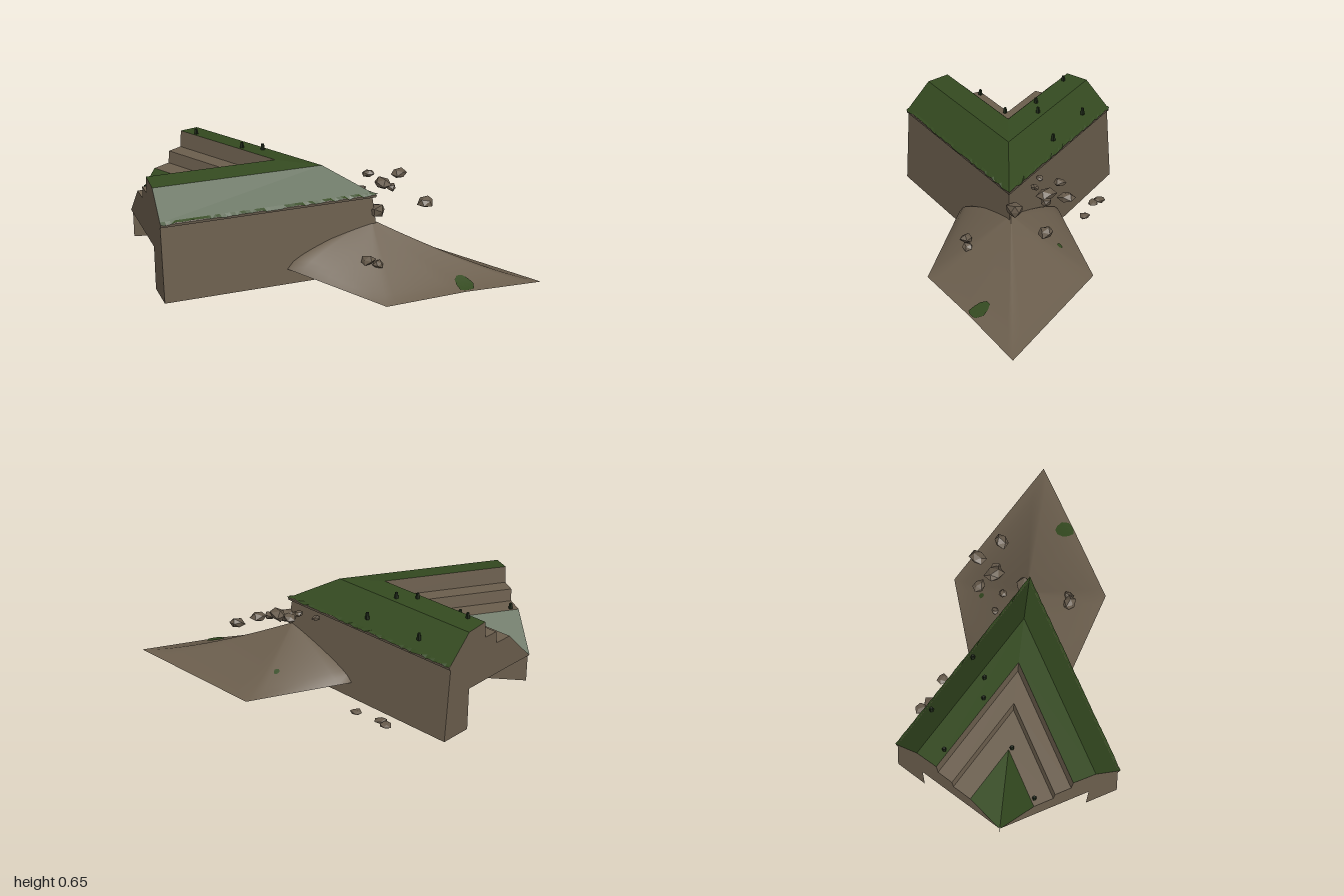
import * as THREE from 'three';

const mat = (name, color, flatShading = true) => {
  const m = new THREE.MeshStandardMaterial({ color, flatShading, side: THREE.DoubleSide });
  m.name = name;
  return m;
};

// Small seeded random number generator
function seeded(seed) {
  return () => {
    seed = (seed * 16807) % 2147483647;
    return seed / 2147483647;
  };
}

// Three stations of the mitred rampart: front arm end, corner, rear arm end.
// d is the distance inward from the outer foot of the wall.
const stations = [
  (d, y) => [-1, y, 0.32 - d],
  (d, y) => [0.24 - 1.732 * d, y, 0.32 - d],
  (d, y) => [-0.38 - 0.866 * d, y, -0.754 + 0.5 * d],
];

function facets(pos) {
  const g = new THREE.BufferGeometry();
  g.setAttribute('position', new THREE.Float32BufferAttribute(pos, 3));
  g.computeVertexNormals();
  return g;
}

const quad = (a, b, c, e) => [...a, ...b, ...c, ...a, ...c, ...e];

// Sweeps an open profile of [d, y] points around the corner
function sweep(profile) {
  const pos = [];
  for (let i = 0; i < 2; i++) {
    for (let j = 0; j < profile.length - 1; j++) {
      const p = profile[j], q = profile[j + 1];
      pos.push(...quad(stations[i](...p), stations[i + 1](...p), stations[i + 1](...q), stations[i](...q)));
    }
  }
  return facets(pos);
}

// Ragged turf hanging over the lip of both arms
function turfFringe(rand) {
  const pos = [], n = 44;
  const mix = (a, b, t) => a.map((v, i) => v + (b[i] - v) * t);
  for (let i = 0; i < 2; i++) {
    let low = 0.455;
    for (let k = 0; k < n; k++) {
      const next = 0.447 + rand() * 0.014;
      const at = (d, y, t) => mix(stations[i](d, y), stations[i + 1](d, y), t);
      pos.push(...quad(at(0.015, low, k / n), at(0.015, next, (k + 1) / n),
        at(0.03, 0.466, (k + 1) / n), at(0.03, 0.466, k / n)));
      low = next;
    }
  }
  return facets(pos);
}

// Flat end of an arm
function endCap(profile, station, flip) {
  const g = new THREE.ShapeGeometry(new THREE.Shape(profile.map((p) => new THREE.Vector2(...p))));
  const p = g.attributes.position;
  for (let i = 0; i < p.count; i++) p.setXYZ(i, ...station(p.getX(i), p.getY(i)));
  if (flip) g.index.array.reverse();
  g.computeVertexNormals();
  return g;
}

// Mound rim points: x, z, y and how hollow the slope is towards them
const APEX = [0.19, 0.28, 0.3];
const RIM = [
  [1, 0.75, 0.0, 1.35], [0.55, 0.75, 0.015, 1.3], [0.09, 0.75, 0.005, 1.1], [-0.31, 0.33, 0.1, 0.6],
  [-0.36, 0.14, 0.03, 0.7], [-0.03, -0.16, 0.105, 0.7], [0.54, -0.03, 0.0, 1.2],
];

function moundGeometry() {
  const sub = 8, rings = 14, n = RIM.length * sub, pos = [], idx = [];
  for (let r = 0; r <= rings; r++) {
    const t = r / rings;
    for (let k = 0; k < n; k++) {
      const a = RIM[Math.floor(k / sub)], b = RIM[(Math.floor(k / sub) + 1) % RIM.length];
      const f = (k % sub) / sub;
      const [x, z, y, p] = a.map((v, i) => v + (b[i] - v) * f);
      pos.push(APEX[0] + (x - APEX[0]) * t, y + (APEX[2] - y) * Math.pow(1 - t, p), APEX[1] + (z - APEX[1]) * t);
      if (r < rings) {
        const i = r * n + k, j = r * n + (k + 1) % n;
        idx.push(i, j + n, i + n, i, j, j + n);
      }
    }
  }
  const g = new THREE.BufferGeometry();
  g.setAttribute('position', new THREE.Float32BufferAttribute(pos, 3));
  g.setIndex(idx);
  g.computeVertexNormals();
  // Face the surface upwards
  if (g.attributes.normal.getY(n * 7) < 0) {
    g.index.array.reverse();
    g.computeVertexNormals();
  }
  return g;
}

// Irregular patch draped over a surface
function drapedPatch(surface, x, z, rx, rz, rand) {
  const ray = new THREE.Raycaster(), down = new THREE.Vector3(0, -1, 0);
  const g = new THREE.RingGeometry(0.001, 1, 10, 3);
  g.rotateX(-Math.PI / 2);
  const p = g.attributes.position, wobble = Array.from({ length: 10 }, () => 0.85 + rand() * 0.3);
  for (let i = 0; i < p.count; i++) {
    const w = wobble[(i % 11) % 10];
    const px = x + p.getX(i) * rx * w, pz = Math.min(z + p.getZ(i) * rz * w, 0.745);
    ray.set(new THREE.Vector3(px, 2, pz), down);
    const hit = ray.intersectObject(surface)[0];
    p.setXYZ(i, px, (hit ? hit.point.y : 0) + 0.006, pz);
  }
  g.computeVertexNormals();
  return g;
}

// Irregular angular stone of unit size
function stoneGeometry(rand) {
  const g = new THREE.IcosahedronGeometry(1, 0);
  const p = g.attributes.position, moved = new Map();
  for (let i = 0; i < p.count; i++) {
    const key = [p.getX(i), p.getY(i), p.getZ(i)].map((v) => v.toFixed(2)).join();
    if (!moved.has(key)) moved.set(key, 0.8 + rand() * 0.4);
    const s = moved.get(key);
    p.setXYZ(i, p.getX(i) * s, p.getY(i) * s, p.getZ(i) * s);
  }
  g.computeVertexNormals();
  return g;
}

export function createModel() {
  const root = new THREE.Group();
  root.name = 'ruinedRampart';
  const earth = mat('earth brown', 0x6b5e4d);
  const softEarth = mat('soft earth brown', 0x6b5e4d, false);
  const grass = mat('grass green', 0x344a20);
  const stone = mat('stone brown', 0x665a4b);
  const dark = mat('dark green', 0x1c2616);
  const rand = seeded(41);

  const add = (name, geometry, material, parent = root) => {
    const m = new THREE.Mesh(geometry, material);
    m.name = name;
    parent.add(m);
    return m;
  };

  // Hollow rampart shell, from the outer foot over the top to the inner bank
  const wall = [[0, 0.01], [0.03, 0.435]];
  const lip = [[0.03, 0.435], [0.02, 0.437], [0.018, 0.452], [0.03, 0.462]];
  const parapet = [[0.03, 0.462], [0.17, 0.605], [0.3, 0.62]];
  const steps = [[0.3, 0.62], [0.308, 0.525], [0.4, 0.525], [0.408, 0.455], [0.52, 0.455]];
  const bank = [[0.52, 0.455], [0.71, 0.265]];
  add('outerWall', sweep(wall), earth);
  add('wallLip', sweep(lip), stone);
  add('turfFringe', turfFringe(rand), grass);
  add('grassParapet', sweep(parapet), grass);
  add('innerSteps', sweep(steps), earth);
  add('innerGrassBank', sweep(bank), grass);

  // Arm ends, open beneath the inner steps
  const arch = [[0.71, 0.265], [0.515, 0.265], [0.19, 0.26], [0.19, 0.01], [0, 0.01]];
  const outline = [wall, lip, parapet, steps, bank, arch].flatMap((s) => s.slice(0, -1)).concat([arch[4]]).slice(1);
  add('frontArmEnd', endCap(outline, stations[0], true), earth);
  add('rearArmEnd', endCap(outline, stations[2], false), earth);

  // Earth curtain hanging under the mitre
  add('earthCurtain', facets(quad([-0.17, 0.14, -0.12], [-0.99, 0.1, -0.39],
    [-0.99, 0.265, -0.39], [-0.17, 0.27, -0.12])), earth);

  // Collapsed earth at the corner, with grass patches on it
  const mound = add('rubbleMound', moundGeometry(), softEarth);
  add('grassPatch', drapedPatch(mound, 0.56, 0.7, 0.05, 0.065, rand), grass);
  add('smallGrassPatch', drapedPatch(mound, 0.34, 0.06, 0.018, 0.015, rand), grass);

  // Loose stones: x, y, z, size
  const stones = new THREE.Group();
  stones.name = 'looseStones';
  root.add(stones);
  const STONES = [
    [-0.13, 0.018, -0.51, 0.038], [-0.12, 0.018, -0.46, 0.038], [-0.01, 0.018, -0.33, 0.036],
    [0.11, 0.43, 0.05, 0.027], [0.19, 0.43, 0.13, 0.025], [0.27, 0.465, 0.02, 0.038],
    [0.31, 0.44, 0.13, 0.053], [0.35, 0.425, 0.16, 0.033], [0.43, 0.465, 0.08, 0.045],
    [0.52, 0.35, 0.26, 0.048], [0.22, 0.35, 0.27, 0.056], [0.08, 0.165, 0.5, 0.042],
    [0.13, 0.145, 0.52, 0.035],
  ];
  for (const [x, y, z, s] of STONES) {
    const m = add('stone', stoneGeometry(rand), stone, stones);
    m.position.set(x, y, z);
    m.scale.set(s, y < 0.1 ? 0.014 : s * 0.65, s * 0.9);
    m.rotation.set(0, rand() * 6.28, y < 0.1 ? 0 : rand() * 0.6 - 0.3);
  }

  // Small tufts on the grass: x, ground height, z
  const TUFTS = [
    [-0.57, 0.615, -0.53], [-0.31, 0.515, -0.5], [-0.39, 0.615, -0.23], [-0.285, 0.61, -0.18],
    [-0.12, 0.51, -0.18], [-0.66, 0.455, -0.18], [-0.96, 0.455, -0.18], [-0.74, 0.36, -0.29],
  ];
  for (const [x, y, z] of TUFTS) {
    const tuft = add('tuft', new THREE.CylinderGeometry(0.009, 0.014, 0.04, 5), dark);
    tuft.position.set(x, y + 0.012, z);
  }
  return root;
}
